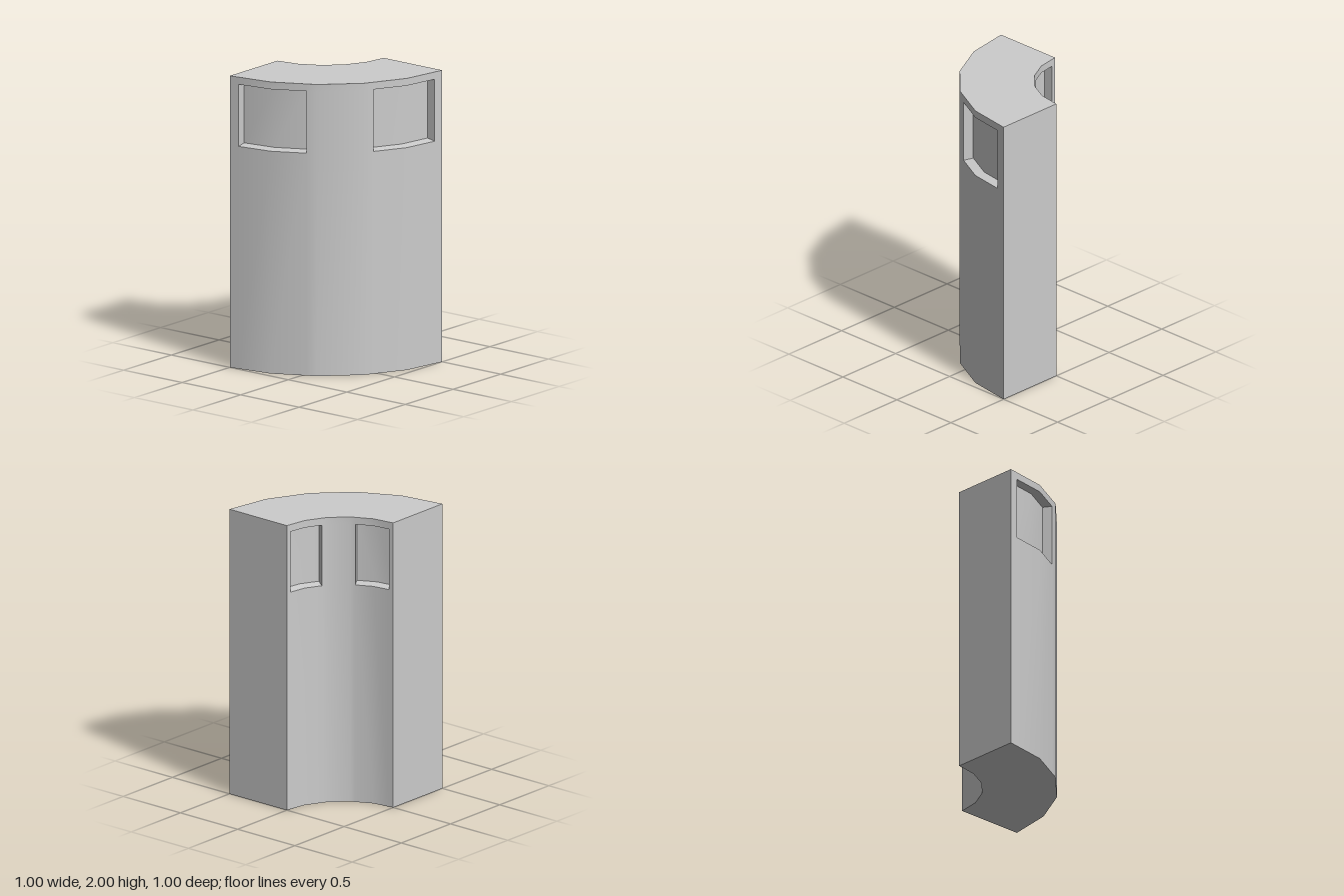
import * as THREE from 'three';
import { toCreasedNormals } from 'three/addons/utils/BufferGeometryUtils.js';

const STEP = 18;                                   // five facets per quarter turn
const ANGLES = [0, 3.8, 18, 32, 36, 54, 58, 72, 86.2, 90];
const LEVELS = [0, 1.525, 1.95, 2];
const OUTER = 1, INNER = 0.5, DEPTH = 0.066, SILL_RISE = 0.01;
const isWindow = (a) => (a > 3 && a < 32) || (a > 57 && a < 86);

// Point on a faceted arc around the corner (-0.5, -0.5), angle in degrees
function arcPoint(radius, angle, y) {
  const half = THREE.MathUtils.degToRad(STEP / 2);
  const local = THREE.MathUtils.degToRad((angle % STEP) - STEP / 2);
  const r = radius * Math.cos(half) / Math.cos(local);
  const t = THREE.MathUtils.degToRad(angle);
  return [r * Math.cos(t) - 0.5, y, r * Math.sin(t) - 0.5];
}

// Quad collector; corners run counter-clockwise seen from outside
function addQuad(list, [a, b, c, d], flip = false) {
  const order = flip ? [a, c, b, a, d, c] : [a, b, c, a, c, d];
  order.forEach((p) => list.push(...p));
}

function makeMesh(name, list, material) {
  const geometry = new THREE.BufferGeometry();
  geometry.setAttribute('position', new THREE.Float32BufferAttribute(list, 3));
  const mesh = new THREE.Mesh(toCreasedNormals(geometry, Math.PI / 6), material);
  mesh.name = name;
  return mesh;
}

const cell = (radius, a0, a1, y0, y1) => [
  arcPoint(radius, a1, y0), arcPoint(radius, a0, y0),
  arcPoint(radius, a0, y1), arcPoint(radius, a1, y1),
];

export function createModel() {
  const group = new THREE.Group();
  group.name = 'curvedWall';
  const material = new THREE.MeshStandardMaterial({ color: 0xcccccc });
  const wall = [];
  const top = LEVELS[LEVELS.length - 1];

  for (const side of ['outer', 'inner']) {
    const inner = side === 'inner';
    const radius = inner ? INNER : OUTER;
    const floorRadius = inner ? INNER + DEPTH : OUTER - DEPTH;
    const recess = [];
    for (let i = 0; i < ANGLES.length - 1; i++) {
      const a0 = ANGLES[i], a1 = ANGLES[i + 1];
      for (let j = 0; j < LEVELS.length - 1; j++) {
        const rim = cell(radius, a0, a1, LEVELS[j], LEVELS[j + 1]);
        if (j !== 1 || !isWindow(a0)) {
          addQuad(wall, rim, inner);
          continue;
        }
        // Recess floor, sill, lintel and jambs
        const floor = cell(floorRadius, a0, a1, LEVELS[j] + SILL_RISE, LEVELS[j + 1]);
        addQuad(recess, floor, inner);
        for (let k = 0; k < 4; k++) {
          const edgeAngle = k === 1 ? a0 : k === 3 ? a1 : null;
          if (edgeAngle !== null && edgeAngle % STEP === 0) continue;
          const n = (k + 1) % 4;
          addQuad(recess, [rim[k], rim[n], floor[n], floor[k]], inner);
        }
      }
    }
    group.add(makeMesh(side + 'WindowRecesses', recess, material));
  }

  // Top and bottom faces
  for (let i = 0; i < ANGLES.length - 1; i++) {
    for (const y of [0, top]) {
      addQuad(wall, [
        arcPoint(OUTER, ANGLES[i + 1], y), arcPoint(OUTER, ANGLES[i], y),
        arcPoint(INNER, ANGLES[i], y), arcPoint(INNER, ANGLES[i + 1], y),
      ], y === 0);
    }
  }

  // Flat end faces
  for (const angle of [0, 90]) {
    for (let j = 0; j < LEVELS.length - 1; j++) {
      const y0 = LEVELS[j], y1 = LEVELS[j + 1];
      addQuad(wall, [
        arcPoint(OUTER, angle, y0), arcPoint(INNER, angle, y0),
        arcPoint(INNER, angle, y1), arcPoint(OUTER, angle, y1),
      ], angle === 90);
    }
  }
  group.add(makeMesh('wallBody', wall, material));
  return group;
}
